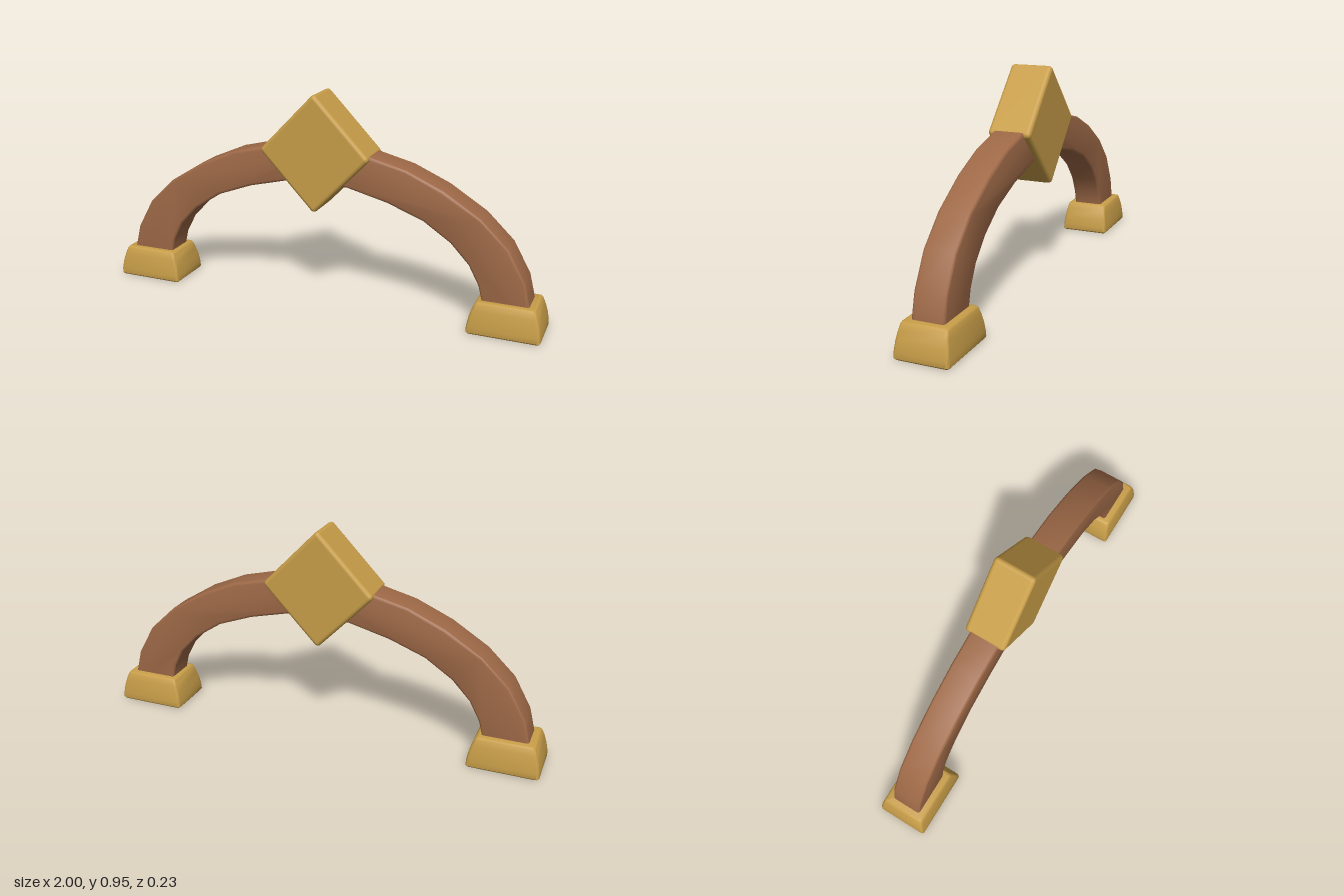
import * as THREE from 'three';
import { toCreasedNormals } from 'three/addons/utils/BufferGeometryUtils.js';
import { RoundedBoxGeometry } from 'three/addons/geometries/RoundedBoxGeometry.js';

const gold = new THREE.MeshStandardMaterial({ color: 0xc79d48 });
gold.name = 'gold';
const brown = new THREE.MeshStandardMaterial({ color: 0x9e6947 });
brown.name = 'brown';

// Half of the arch outline, from the foot up to the crown
const OUTER = [[0.945, 0.05], [0.94, 0.14], [0.915, 0.24], [0.84, 0.375], [0.72, 0.49], [0.56, 0.59], [0.4, 0.66], [0.24, 0.7], [0, 0.72]];
const INNER = [[0, 0.56], [0.14, 0.555], [0.32, 0.51], [0.48, 0.45], [0.6, 0.37], [0.68, 0.285], [0.725, 0.2], [0.74, 0.14], [0.745, 0.05]];

function mesh(name, geometry, material) {
  const m = new THREE.Mesh(geometry, material);
  m.name = name;
  return m;
}

// Curved beam with softened edges
function archGeometry() {
  const flip = (list) => list.slice().reverse().map(([x, y]) => [-x, y]);
  const points = [...OUTER, ...flip(OUTER).slice(1), ...flip(INNER), ...INNER.slice(1)];
  const shape = new THREE.Shape(points.map(([x, y]) => new THREE.Vector2(x, y)));
  const bevel = 0.01, depth = 0.136;
  const g = new THREE.ExtrudeGeometry(shape, {
    depth: depth - 2 * bevel, bevelThickness: bevel, bevelSize: bevel, bevelOffset: -bevel, bevelSegments: 3,
  });
  g.translate(0, 0, -depth / 2 + bevel);
  return toCreasedNormals(g, 0.7);
}

// Flared block lofted through rounded rectangles: [half width, half depth, y]
function footGeometry() {
  const rings = [[0.15, 0.109, 0], [0.155, 0.114, 0.006], [0.154, 0.113, 0.03], [0.147, 0.109, 0.07],
    [0.137, 0.103, 0.105], [0.127, 0.098, 0.13], [0.122, 0.094, 0.137], [0.115, 0.087, 0.14]];
  const r = 0.012, steps = 3, n = 4 * (steps + 1);
  const pos = [], index = [];
  for (const [w, d, y] of rings) {
    for (let c = 0; c < 4; c++) {
      const sx = c === 0 || c === 3 ? 1 : -1, sz = c < 2 ? 1 : -1;
      for (let s = 0; s <= steps; s++) {
        const a = (c + s / steps) * Math.PI / 2;
        pos.push(sx * (w - r) + r * Math.cos(a), y, sz * (d - r) + r * Math.sin(a));
      }
    }
  }
  const last = (rings.length - 1) * n;
  for (let k = 0; k < rings.length - 1; k++) {
    for (let i = 0; i < n; i++) {
      const a = k * n + i, b = k * n + (i + 1) % n;
      index.push(a, a + n, b, b, a + n, b + n);
    }
  }
  // Bottom and top caps
  for (let i = 1; i < n - 1; i++) {
    index.push(0, i, i + 1, last, last + i + 1, last + i);
  }
  const g = new THREE.BufferGeometry();
  g.setAttribute('position', new THREE.Float32BufferAttribute(pos, 3));
  g.setIndex(index);
  return toCreasedNormals(g, 0.75);
}

export function createModel() {
  const group = new THREE.Group();
  group.name = 'archHandle';
  group.add(mesh('arch', archGeometry(), brown));

  // Diamond block at the crown
  const diamond = new RoundedBoxGeometry(0.365, 0.365, 0.19, 3, 0.018);
  diamond.rotateZ(Math.PI / 4);
  diamond.scale(0.98, 1.02, 1);
  const block = mesh('crownBlock', diamond, gold);
  block.position.set(-0.005, 0.69, 0);
  group.add(block);

  // Feet
  const foot = footGeometry();
  for (const side of [-1, 1]) {
    const f = mesh(side > 0 ? 'leftFoot' : 'rightFoot', foot, gold);
    f.position.x = side * 0.845;
    group.add(f);
  }
  return group;
}
